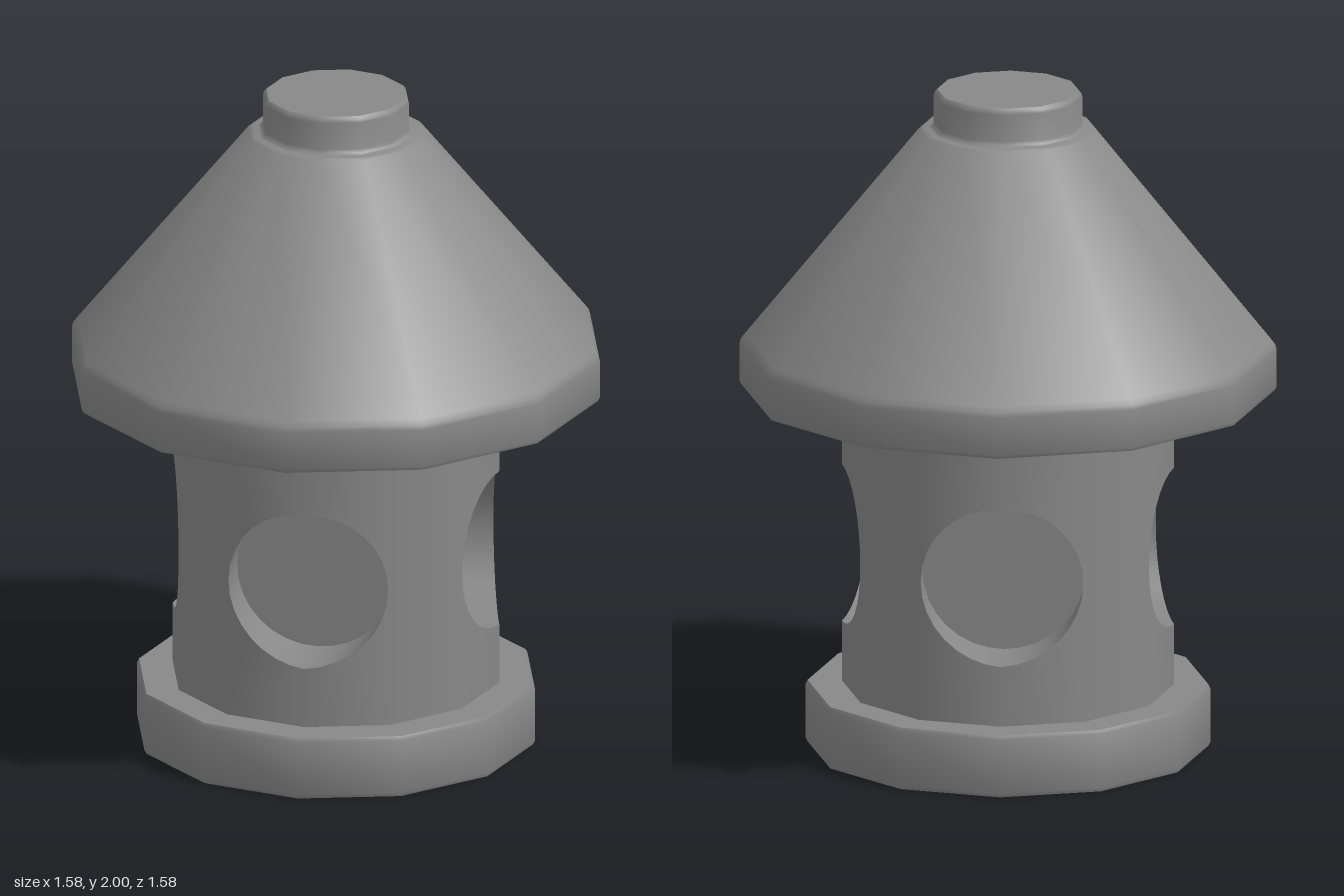
import * as THREE from 'three';
import { mergeGeometries, toCreasedNormals } from 'three/addons/utils/BufferGeometryUtils.js';

const SIDES = 12;
const R = 0.49, Y0 = 0.18, Y1 = 1.1;              // tower wall
const HOLE_R = 0.24, HOLE_Y = 0.61, FLOOR_Z = 0.29; // round recesses
const COLOR = 0x888888;
const material = new THREE.MeshStandardMaterial({ color: COLOR });
const tunnelMaterial = new THREE.MeshStandardMaterial({ color: COLOR, side: THREE.DoubleSide });

// Depth of the wall's two front faces, which meet in an edge at x = 0
const wallZ = (x) => R - Math.abs(x) * Math.tan(Math.PI / SIDES);

function add(parent, name, geometry, mat = material) {
  const mesh = new THREE.Mesh(geometry, mat);
  mesh.name = name;
  parent.add(mesh);
}

// Twelve-sided turned part, smooth around and sharp at the rims.
// Turned in hundredths of a unit so that fine bevels keep their own normals.
function turned(profile) {
  const points = profile.map(([r, y]) => new THREE.Vector2(r * 100, y * 100));
  return toCreasedNormals(new THREE.LatheGeometry(points, SIDES), 0.7).scale(0.01, 0.01, 0.01);
}

// Half of a pierced wall panel; side is 1 or -1
function halfPanel(side) {
  const edge = side * R * Math.sin(Math.PI / 6);
  const shape = new THREE.Shape();
  shape.moveTo(0, Y0);
  shape.lineTo(edge, Y0);
  shape.lineTo(edge, Y1);
  shape.lineTo(0, Y1);
  shape.lineTo(0, HOLE_Y + HOLE_R);
  shape.absarc(0, HOLE_Y, HOLE_R, Math.PI / 2, -Math.PI / 2 + (side < 0 ? 2 * Math.PI : 0), side > 0);
  const geometry = new THREE.ShapeGeometry(shape, 8);
  const { position, normal } = geometry.attributes;
  for (let i = 0; i < position.count; i++) {
    const x = position.getX(i), z = wallZ(x), len = Math.hypot(x, z);
    position.setZ(i, z);
    normal.setXYZ(i, x / len, 0, z / len);
  }
  return geometry;
}

// Whole wall: four pierced panels with a plain panel after each
function wall() {
  const panels = [];
  for (let i = 0; i < 4; i++) {
    const corner = new THREE.CylinderGeometry(R, R, Y1 - Y0, 1, 1, true, Math.PI / 6, Math.PI / 6);
    corner.translate(0, (Y0 + Y1) / 2, 0);
    for (const panel of [halfPanel(1), halfPanel(-1), corner]) panels.push(panel.rotateY(i * Math.PI / 2));
  }
  return mergeGeometries(panels);
}

// Side of a recess, from the wall surface in to the flat floor
function tunnel() {
  const geometry = new THREE.CylinderGeometry(HOLE_R, HOLE_R, 1, 32, 1, true);
  geometry.rotateX(Math.PI / 2);
  const p = geometry.attributes.position;
  for (let i = 0; i < p.count; i++) p.setZ(i, p.getZ(i) > 0 ? wallZ(p.getX(i)) : FLOOR_Z);
  return geometry.translate(0, HOLE_Y, 0);
}

export function createModel() {
  const model = new THREE.Group();
  model.name = 'lanternTower';

  add(model, 'base', turned([
    [0, 0], [0.591, 0], [0.597, 0.012], [0.597, 0.176], [0.591, 0.188], [0, 0.188],
  ]));
  add(model, 'wall', wall());
  add(model, 'roof', turned([
    [0, 1.09], [0.786, 1.09], [0.792, 1.102], [0.792, 1.215], [0.788, 1.23], [0.776, 1.246],
    [0.262, 1.88], [0.25, 1.886], [0, 1.886],
  ]));
  // Cap with a small flared foot
  add(model, 'cap', turned([
    [0.232, 1.885], [0.224, 1.89], [0.219, 1.9], [0.219, 1.982], [0.216, 1.992], [0.209, 2], [0, 2],
  ]));

  // One round recess on each of the four sides
  for (let i = 0; i < 4; i++) {
    const recess = new THREE.Group();
    recess.name = `recess${i + 1}`;
    recess.rotation.y = i * Math.PI / 2;
    add(recess, 'recessSide', tunnel(), tunnelMaterial);
    add(recess, 'recessFloor', new THREE.CircleGeometry(HOLE_R, 32).translate(0, HOLE_Y, FLOOR_Z));
    model.add(recess);
  }
  return model;
}
